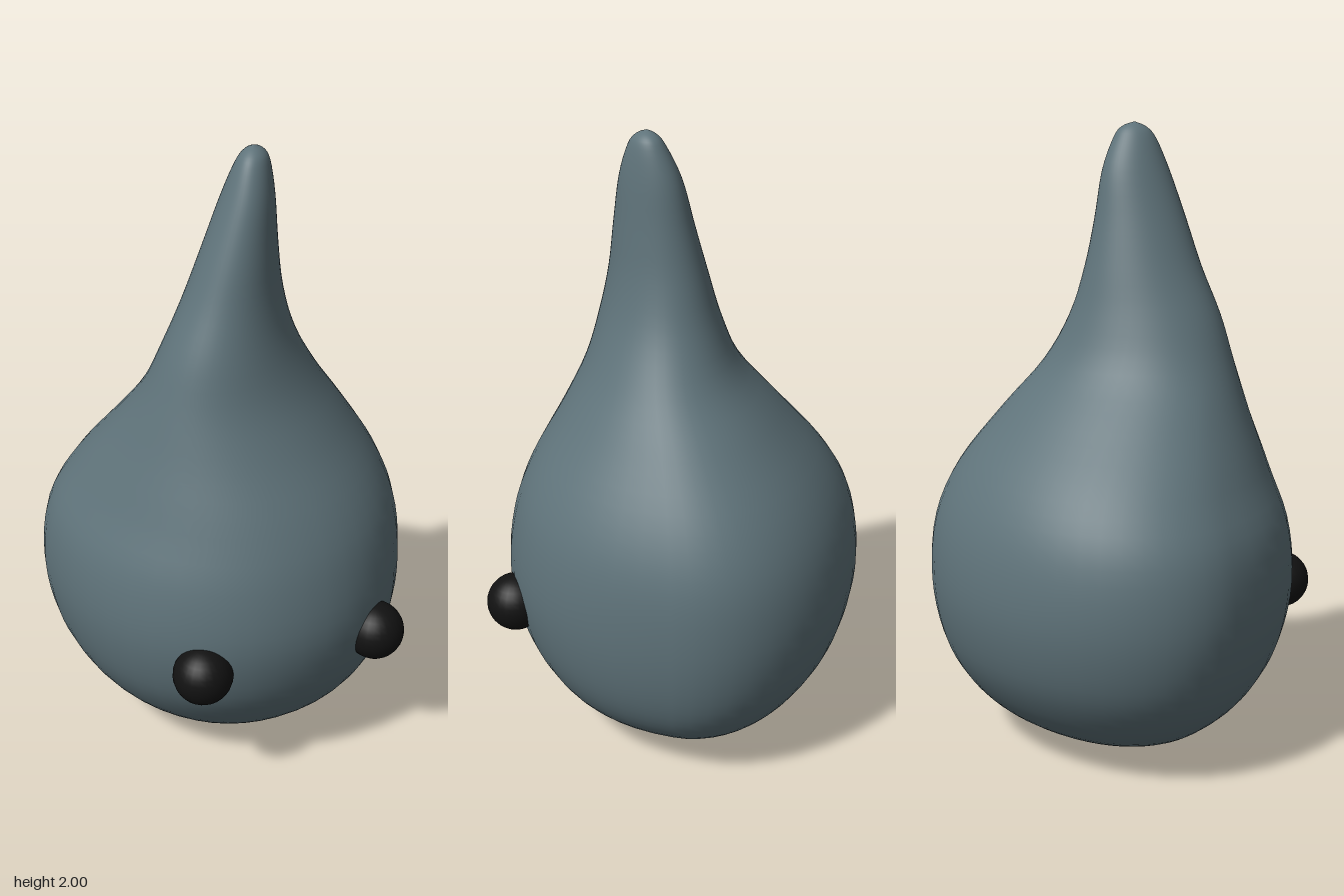
import * as THREE from 'three';

// Body sections: [y, xMin, xMax, zBack, zFront]
const SECTIONS = [
  [0, 0, 0, 0.03, 0.03],
  [0.012, -0.13, 0.14, -0.11, 0.14],
  [0.05, -0.25, 0.27, -0.235, 0.255],
  [0.12, -0.385, 0.41, -0.365, 0.36],
  [0.22, -0.485, 0.505, -0.46, 0.45],
  [0.36, -0.555, 0.56, -0.535, 0.53],
  [0.55, -0.588, 0.584, -0.572, 0.57],
  [0.75, -0.567, 0.57, -0.55, 0.547],
  [0.92, -0.485, 0.505, -0.47, 0.488],
  [1.1, -0.39, 0.385, -0.32, 0.395],
  [1.25, -0.32, 0.275, -0.19, 0.328],
  [1.4, -0.26, 0.19, -0.125, 0.287],
  [1.55, -0.19, 0.143, -0.083, 0.25],
  [1.7, -0.13, 0.12, -0.045, 0.225],
  [1.85, -0.07, 0.105, -0.01, 0.197],
  [1.95, -0.028, 0.086, 0.037, 0.163],
  [1.985, 0, 0.065, 0.065, 0.135],
  [2, 0.03, 0.03, 0.1, 0.1],
];

const power = (v, n) => Math.sign(v) * Math.pow(Math.abs(v), 2 / n);

function createBodyGeometry(rows = 68, sides = 48) {
  const spline = (a, b) => new THREE.CatmullRomCurve3(
    SECTIONS.map((s) => new THREE.Vector3(s[a], s[0], s[b])), false, 'catmullrom', 0.5);
  const widths = spline(1, 2);
  const depths = spline(3, 4);
  const positions = [];
  const indices = [];

  for (let i = 0; i <= rows; i++) {
    const w = widths.getPoint(i / rows);
    const d = depths.getPoint(i / rows);
    const y = THREE.MathUtils.clamp(w.y, 0, 2);
    // The belly is widest behind the middle; the neck leans into a skewed oval
    const neck = THREE.MathUtils.smoothstep(y, 0.8, 1.5);
    const cx = (w.x + w.z) / 2;
    const rx = (w.z - w.x) / 2;
    const cz = (d.x + d.z) / 2 - 0.11 * (d.z - d.x) * (1 - neck);
    const n = 2 + 0.1 * (1 - neck);
    for (let j = 0; j < sides; j++) {
      const angle = (j / sides) * Math.PI * 2;
      const c = Math.cos(angle);
      const s = Math.sin(angle - 0.26 * neck);
      const rz = s < 0 ? cz - d.x : d.z - cz;
      positions.push(cx + rx * power(c, n), y, cz + rz * power(s, n));
    }
  }
  for (let i = 0; i < rows; i++) {
    for (let j = 0; j < sides; j++) {
      const a = i * sides + j;
      const b = i * sides + (j + 1) % sides;
      // One triangle per side at the poles, two elsewhere
      if (i < rows - 1) indices.push(a, a + sides, b + sides);
      if (i > 0) indices.push(a, b + sides, b);
    }
  }
  const geometry = new THREE.BufferGeometry();
  geometry.setAttribute('position', new THREE.Float32BufferAttribute(positions, 3));
  geometry.setIndex(indices);
  geometry.computeVertexNormals();
  return geometry;
}

export function createModel() {
  const model = new THREE.Group();
  model.name = 'dropletCreature';

  // Drop-shaped body with a leaning tip
  const body = new THREE.Mesh(
    createBodyGeometry(), new THREE.MeshStandardMaterial({ color: 0x5f737a }));
  body.name = 'body';
  model.add(body);

  // Round eyes half sunk into the front
  const eyeGeometry = new THREE.SphereGeometry(0.094, 24, 16);
  const eyeMaterial = new THREE.MeshStandardMaterial({ color: 0x121212 });
  for (const side of [-1, 1]) {
    const eye = new THREE.Mesh(eyeGeometry, eyeMaterial);
    eye.name = side > 0 ? 'leftEye' : 'rightEye';
    eye.position.set(side * 0.297, 0.475, 0.482);
    model.add(eye);
  }
  return model;
}
